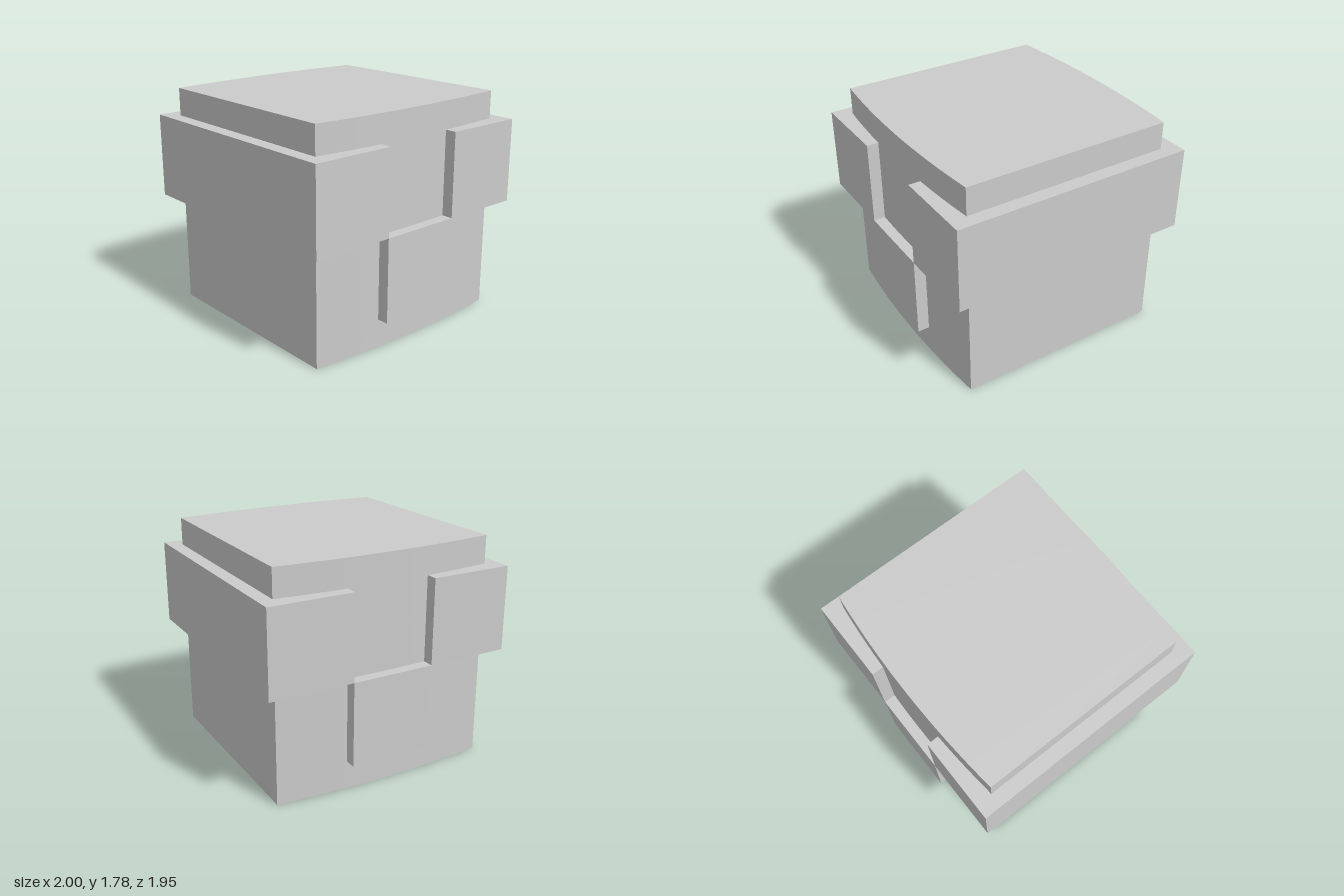
import * as THREE from 'three';
import { toCreasedNormals } from 'three/addons/utils/BufferGeometryUtils.js';

const material = new THREE.MeshStandardMaterial({ color: 0xcccccc });

function addBlock(group, name, [x0, x1], [y0, y1], [z0, z1]) {
  const mesh = new THREE.Mesh(new THREE.BoxGeometry(x1 - x0, y1 - y0, z1 - z0), material);
  mesh.name = name;
  mesh.position.set((x0 + x1) / 2, (y0 + y1) / 2, (z0 + z1) / 2);
  group.add(mesh);
}

export function createModel() {
  const group = new THREE.Group();
  group.name = 'bandedBlock';

  // Core: flat sides, gently bowed front and back
  const halfWidth = 0.89, cornerZ = 0.84, bow = 0.05, height = 1.78, segments = 16;
  const radius = (halfWidth ** 2 + bow ** 2) / (2 * bow);
  const outline = [];
  for (const side of [1, -1]) {
    for (let i = 0; i <= segments; i++) {
      const x = side * halfWidth * (1 - (2 * i) / segments);
      const z = cornerZ + bow - radius + Math.sqrt(radius ** 2 - x ** 2);
      outline.push(new THREE.Vector2(x, side * z));
    }
  }
  const coreGeometry = new THREE.ExtrudeGeometry(new THREE.Shape(outline), { depth: height, bevelEnabled: false });
  coreGeometry.rotateX(-Math.PI / 2);
  const core = new THREE.Mesh(toCreasedNormals(coreGeometry, 0.5), material);
  core.name = 'core';
  group.add(core);

  // Raised blocks: one wrapping each side, one low on the front and on the back
  const inner = 0.333, outerZ = 0.976;
  addBlock(group, 'leftSideBlock', [inner, 1], [0.89, 1.56], [-outerZ, outerZ]);
  addBlock(group, 'rightSideBlock', [-1, -inner], [0.89, 1.56], [-outerZ, outerZ]);
  addBlock(group, 'frontBlock', [-inner, inner], [0.225, 0.89], [0.8, outerZ]);
  addBlock(group, 'backBlock', [-inner, inner], [0.225, 0.89], [-outerZ, -0.8]);

  return group;
}
